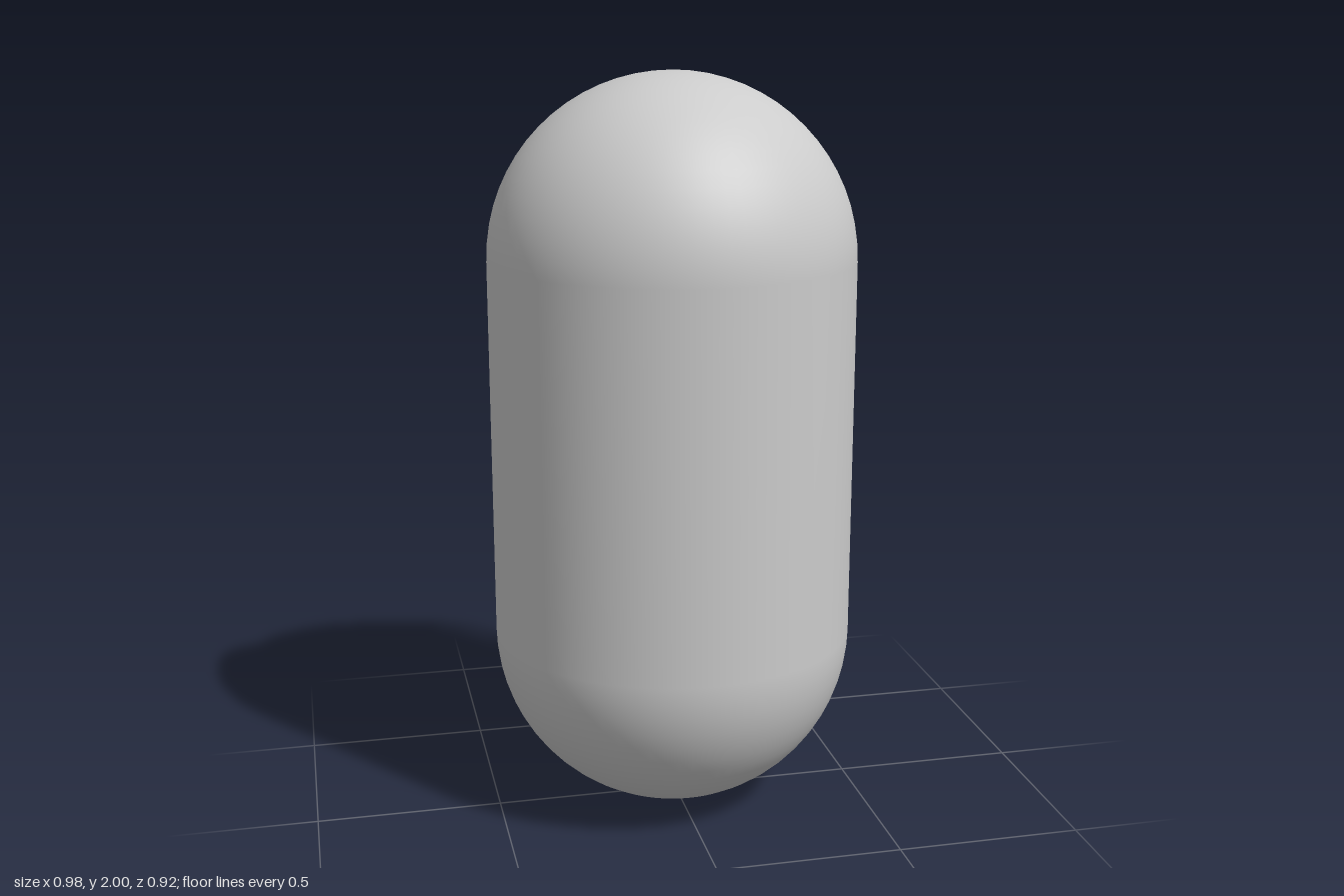
import * as THREE from 'three';

const AXIS_Z = -0.034;

// Half outline of a capsule, from bottom pole to top pole.
function capsuleProfile(radius, low, high, steps = 16) {
  const points = [];
  for (let i = 0; i <= steps; i++) {
    const a = (i / steps) * Math.PI / 2;
    points.push(new THREE.Vector2(radius * Math.sin(a), low - radius * Math.cos(a)));
  }
  for (let i = 0; i <= steps; i++) {
    const a = (i / steps) * Math.PI / 2;
    points.push(new THREE.Vector2(radius * Math.cos(a), high + radius * Math.sin(a)));
  }
  points[0].x = points[points.length - 1].x = 0;
  return points;
}

export function createModel() {
  const model = new THREE.Group();
  const grey = new THREE.MeshStandardMaterial({ color: 0xcccccc });
  const greyDouble = new THREE.MeshStandardMaterial({ color: 0xcccccc, side: THREE.DoubleSide });

  const add = (name, geometry, material = grey) => {
    const mesh = new THREE.Mesh(geometry, material);
    mesh.name = name;
    model.add(mesh);
    return mesh;
  };

  // Front shell: a capsule swept a little past half a turn
  const overhang = THREE.MathUtils.degToRad(10);
  const outer = capsuleProfile(0.49, 0.49, 1.51);
  const shell = add('frontShell', new THREE.LatheGeometry(
    outer, 40, -Math.PI / 2 - overhang, Math.PI + 2 * overhang), greyDouble);
  shell.position.z = AXIS_Z;

  // Flat rims closing the cut edges of the shell
  const rimShape = new THREE.Shape([...outer, ...capsuleProfile(0.41, 0.5, 1.5).reverse()]);
  for (const [name, angle] of [['leftRim', overhang], ['rightRim', Math.PI - overhang]]) {
    const rim = add(name, new THREE.ShapeGeometry(rimShape), greyDouble);
    rim.rotation.y = angle;
    rim.position.z = AXIS_Z;
  }

  // Inner body: a smaller capsule, flattened front to back
  const body = add('innerBody', new THREE.LatheGeometry(capsuleProfile(0.44, 0.5, 1.5), 48));
  body.scale.z = 0.381 / 0.44;
  body.position.z = AXIS_Z;

  // Guard hoops: flat half-elliptic bands across the back
  const hoopShape = new THREE.Shape();
  hoopShape.moveTo(0.463, -0.015);
  hoopShape.lineTo(0.463, 0);
  hoopShape.absellipse(0, 0, 0.463, 0.34, 0, Math.PI, false);
  hoopShape.lineTo(-0.463, -0.015);
  hoopShape.lineTo(-0.432, -0.015);
  hoopShape.absellipse(0, 0, 0.432, 0.318, Math.PI, 0, true);
  hoopShape.lineTo(0.432, -0.015);
  const hoopGeometry = new THREE.ExtrudeGeometry(hoopShape, {
    depth: 0.036, bevelEnabled: false, curveSegments: 48,
  }).rotateX(-Math.PI / 2);
  [0.45, 0.795, 1.182, 1.54].forEach((y, i) => {
    add(`guardHoop${i + 1}`, hoopGeometry).position.set(0.003, y - 0.018, -0.12);
  });

  return model;
}
